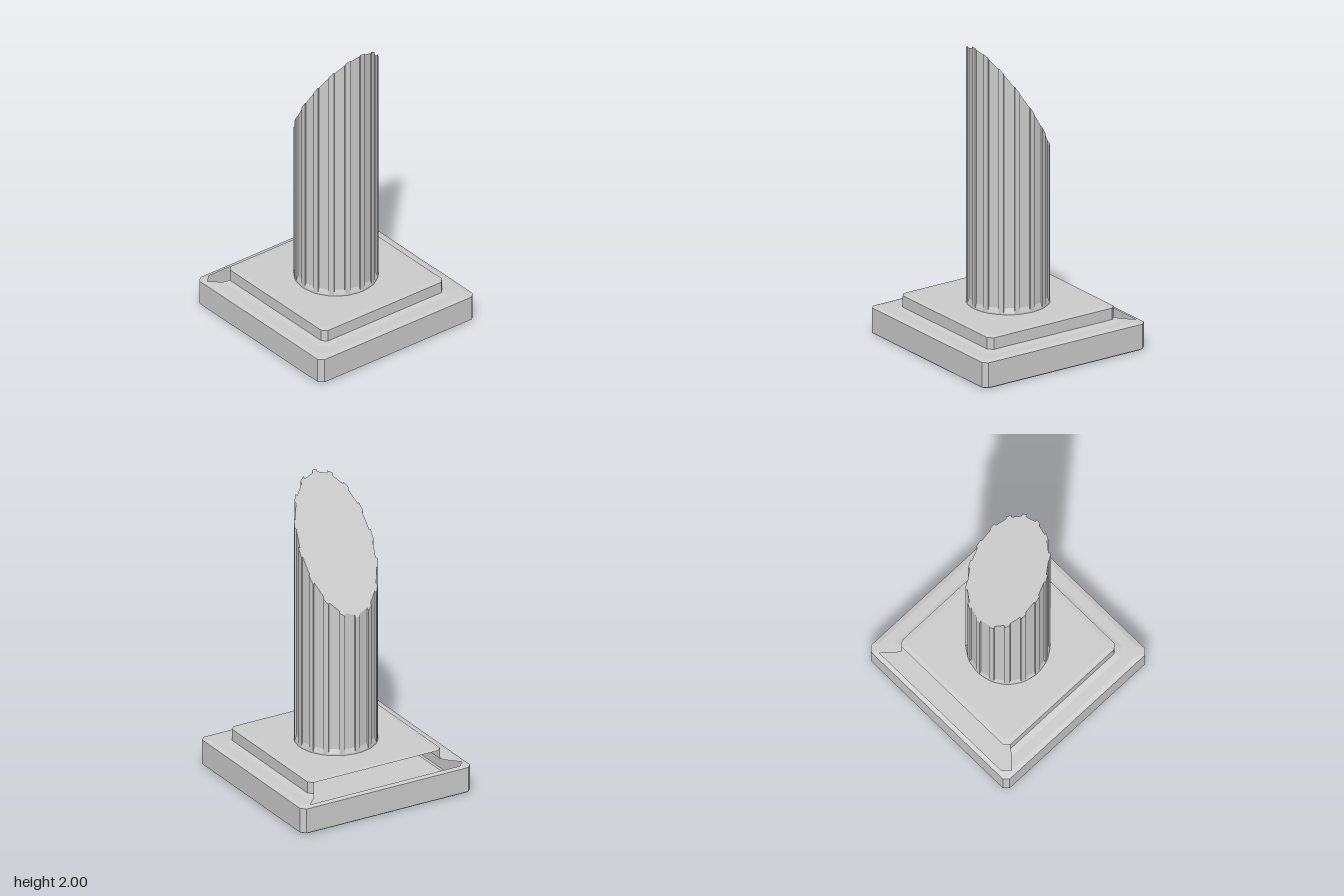
import * as THREE from 'three';

// Flat-shaded shell through closed rings of points, listed bottom to top.
// Each ring runs from +x towards +z; skip(band, side) leaves an opening.
function loft(name, rings, { skip = () => false, bottom = true } = {}) {
  const pos = [];
  const tri = (...pts) => pts.forEach((p) => pos.push(p.x, p.y, p.z));
  const n = rings[0].length;
  const centre = (ring) => ring.reduce((s, p) => s.add(p), new THREE.Vector3()).divideScalar(n);
  const last = rings[rings.length - 1];
  const c0 = centre(rings[0]);
  const c1 = centre(last);
  for (let i = 0; i < n; i++) {
    const j = (i + 1) % n;
    for (let b = 0; b < rings.length - 1; b++) {
      if (skip(b, i)) continue;
      const lo = rings[b], hi = rings[b + 1];
      tri(lo[j], lo[i], hi[i]);
      tri(lo[j], hi[i], hi[j]);
    }
    if (bottom) tri(c0, rings[0][i], rings[0][j]);
    tri(c1, last[j], last[i]);
  }
  const geometry = new THREE.BufferGeometry();
  geometry.setAttribute('position', new THREE.Float32BufferAttribute(pos, 3));
  geometry.computeVertexNormals();
  const mesh = new THREE.Mesh(geometry, new THREE.MeshStandardMaterial({
    color: 0xcccccc, flatShading: true, side: THREE.DoubleSide,
  }));
  mesh.name = name;
  return mesh;
}

// Square ring with cut corners: half width, corner cut, height
function cutSquare([h, c, y]) {
  const k = h - c;
  return [[h, -k], [h, k], [k, h], [-k, h], [-h, k], [-h, -k], [-k, -h], [k, -h]]
    .map(([x, z]) => new THREE.Vector3(x, y, z));
}

// Outline of the shaft: narrow ridges with shallow flat flutes between them
function flutedRing(depth, heightAt) {
  const R = 0.262, COUNT = 16, ring = [];
  const profile = [[-3.7, 0], [3.7, 0], [3.9, depth], [18.6, depth]];
  for (let k = 0; k < COUNT; k++) {
    for (const [deg, d] of profile) {
      const a = THREE.MathUtils.degToRad((k * 360) / COUNT + deg);
      const x = (R - d) * Math.cos(a), z = (R - d) * Math.sin(a);
      ring.push(new THREE.Vector3(x, heightAt(z), z));
    }
  }
  return ring;
}

export function createModel() {
  const group = new THREE.Group();
  group.name = 'brokenColumn';

  // Hollow two-step plinth, broken open at the back ledge and riser
  const steps = [
    [0.605, 0.03, 0], [0.615, 0.03, 0.008], [0.615, 0.03, 0.172], [0.585, 0.045, 0.18],
    [0.52, 0.045, 0.181], [0.48, 0.03, 0.19], [0.48, 0.03, 0.266], [0.45, 0.025, 0.27],
  ];
  group.add(loft('plinth', steps.map(cutSquare), {
    skip: (band, side) => band >= 3 && band <= 5 && (side === 5 || side === 6),
  }));

  // Fluted shaft, sliced off by a plane that falls towards the back
  const DEPTH = 0.01;
  group.add(loft('shaft', [
    flutedRing(0, () => 0.268),
    flutedRing(0, () => 0.28),
    flutedRing(DEPTH, () => 0.31),
    flutedRing(DEPTH, (z) => 1.6 + 1.53 * z),
  ], { bottom: false }));

  return group;
}
